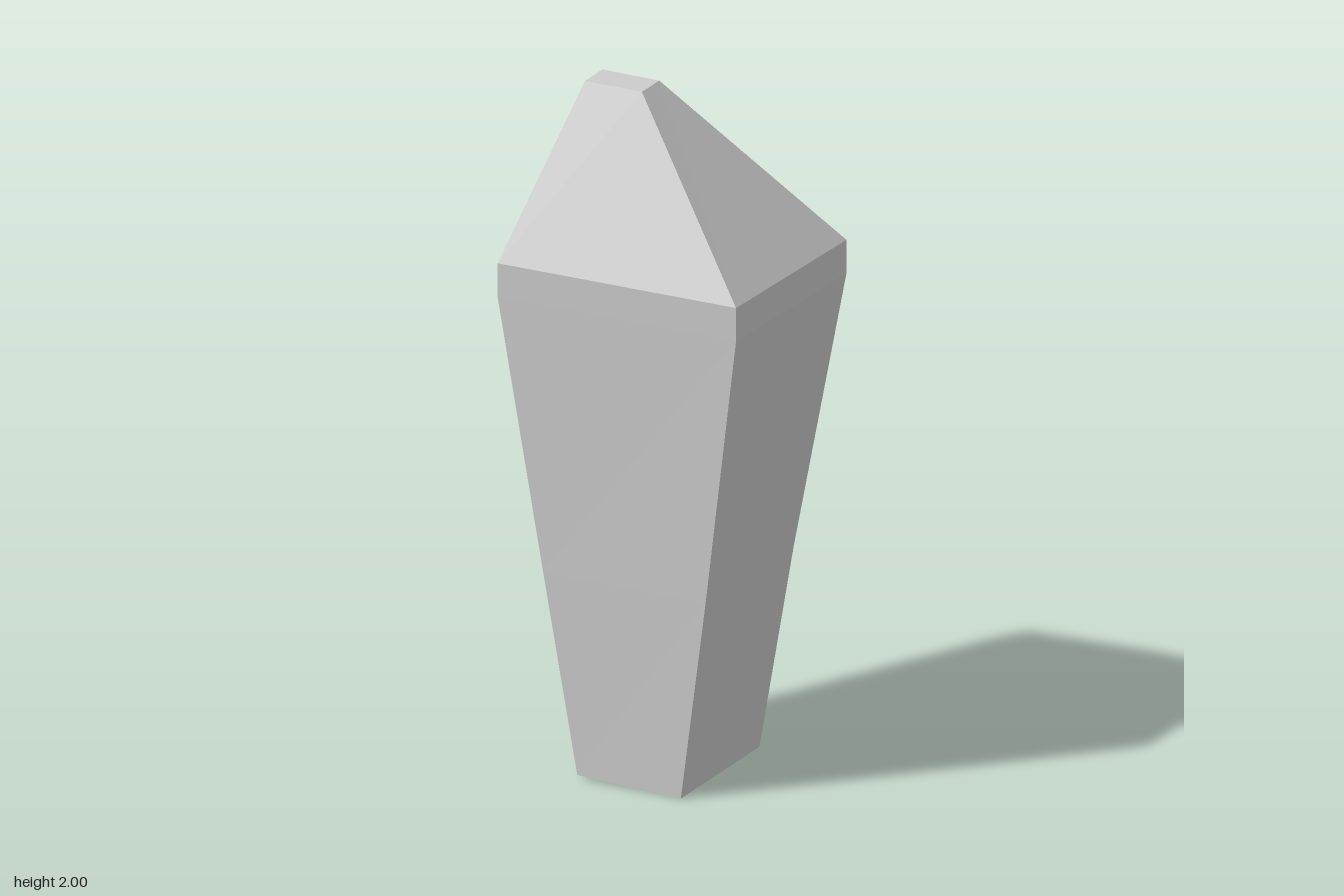
import * as THREE from 'three';

// Four-sided cross-sections from base to tip: height, then x,z of each corner
// (back -x, front -x, front +x, back +x).
const shoulder = [[-0.345, -0.315], [-0.385, 0.312], [0.368, 0.3], [0.385, -0.315]];
const sections = [
  { y: 0, lift: 0.01, ring: [[-0.135, -0.155], [-0.135, 0.305], [0.195, 0.305], [0.195, -0.155]] },
  { y: 0.6, ring: [[-0.23, -0.205], [-0.242, 0.308], [0.273, 0.303], [0.277, -0.205]] },
  { y: 1.4, ring: shoulder },
  { y: 1.5, ring: shoulder },
  { y: 2, ring: [[-0.228, -0.013], [-0.228, 0.088], [-0.047, 0.088], [-0.047, -0.013]] },
];

// Skin the sections with quads and close both ends.
function loft(list) {
  const positions = [];
  const index = [];
  const n = 4;
  for (const { y, lift = 0, ring } of list) {
    for (const [x, z] of ring) positions.push(x, y + (x < 0 ? lift : 0), z);
  }
  const quad = (a, b, c, d) => index.push(a, b, c, a, c, d);
  for (let s = 0; s < list.length - 1; s++) {
    for (let i = 0; i < n; i++) {
      const j = (i + 1) % n;
      quad(s * n + i, s * n + j, (s + 1) * n + j, (s + 1) * n + i);
    }
  }
  const t = (list.length - 1) * n;
  quad(t, t + 1, t + 2, t + 3);
  quad(3, 2, 1, 0);
  const indexed = new THREE.BufferGeometry();
  indexed.setAttribute('position', new THREE.Float32BufferAttribute(positions, 3));
  indexed.setIndex(index);
  const geometry = indexed.toNonIndexed();
  geometry.computeVertexNormals();
  return geometry;
}

export function createModel() {
  const group = new THREE.Group();
  group.name = 'crystal';
  const material = new THREE.MeshStandardMaterial({ color: 0xcccccc, flatShading: true });
  const shard = new THREE.Mesh(loft(sections), material);
  shard.name = 'crystalShard';
  group.add(shard);
  return group;
}
